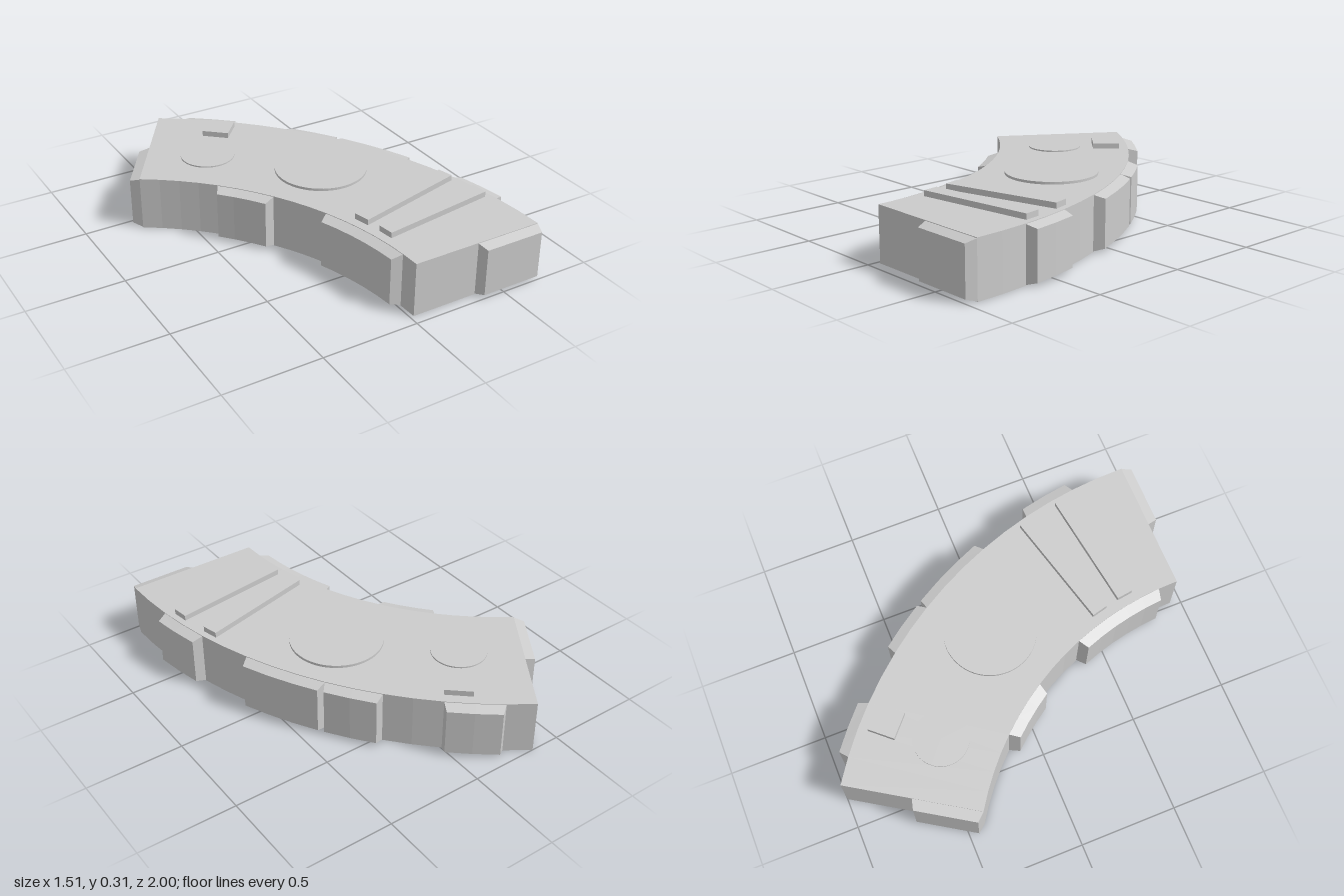
import * as THREE from 'three';

const CX = -1.589, CZ = 0.945;        // centre of the bend
const RI = 1.609, RO = 2.309;         // inner and outer radius
const SWEEP = THREE.MathUtils.degToRad(57.4), STEP = SWEEP / 8;
const H = 0.283, BEVEL = 0.016;

const material = new THREE.MeshStandardMaterial({ color: 0xcccccc, flatShading: true });

// Box whose cross-section shrinks by BEVEL towards one side of the given axis
function taperedBox(w, h, d, nz, axis, sign) {
  const geo = new THREE.BoxGeometry(w, h, d, 1, 1, nz);
  const size = { x: w, y: h, z: d }, p = geo.attributes.position, v = new THREE.Vector3();
  for (let i = 0; i < p.count; i++) {
    v.fromBufferAttribute(p, i);
    if (v[axis] * sign > 0) {
      for (const k of ['x', 'y', 'z']) {
        if (k !== axis) v[k] *= 1 - 2 * BEVEL / size[k];
      }
    }
    p.setXYZ(i, v.x, v.y, v.z);
  }
  return geo;
}

// Wraps a geometry around the bend: x is radius, z is arc length at radius rRef
function bend(geo, rMid, yMid, angleMid, rRef) {
  const p = geo.attributes.position;
  for (let i = 0; i < p.count; i++) {
    const r = rMid + p.getX(i), a = angleMid - p.getZ(i) / rRef;
    p.setXYZ(i, CX + r * Math.cos(a), yMid + p.getY(i), CZ - r * Math.sin(a));
  }
  const flat = geo.toNonIndexed();
  flat.computeVertexNormals();
  return flat;
}

export function createModel() {
  const group = new THREE.Group();
  const add = (name, geo, x = 0, y = 0, z = 0, turn = 0) => {
    const mesh = new THREE.Mesh(geo, material);
    mesh.name = name;
    mesh.position.set(x, y, z);
    mesh.rotation.y = turn;
    group.add(mesh);
  };

  // Curved wall slab
  const rMid = (RI + RO) / 2;
  add('curvedSlab', bend(new THREE.BoxGeometry(RO - RI, H, SWEEP * rMid, 1, 1, 16),
    rMid, H / 2, SWEEP / 2, rMid));

  // Raised blocks along the outer and inner walls, as spans of steps
  const wallBlocks = (name, spans, r, depth, sign) => spans.forEach(([a, b]) => {
    const geo = taperedBox(depth, H - 0.006, (b - a) * STEP * r, Math.round((b - a) * 2), 'x', sign);
    add(name, bend(geo, r + sign * depth / 2, H / 2, (a + b) / 2 * STEP, r));
  });
  wallBlocks('outerBlock', [[1, 2], [3, 4.5], [4.5, 5.5], [6.5, 7.5]], RO, 0.053, 1);
  wallBlocks('innerBlock', [[0.5, 3], [4.5, 6]], RI, 0.055, -1);

  // Raised block on half of each end face
  const endBlock = (name, r, angle, sign) => {
    const geo = taperedBox(0.35, H - 0.006, 0.053, 1, 'z', sign).toNonIndexed();
    geo.translate(r, 0, sign * 0.0265);
    geo.computeVertexNormals();
    add(name, geo, CX, H / 2, CZ, angle);
  };
  endBlock('frontEndBlock', RO - 0.175, 0, 1);
  endBlock('backEndBlock', RI + 0.175, SWEEP, -1);

  // Round plates on top
  const disc = (name, x, z, r, top) => {
    const h = top - H + 0.02;
    add(name, new THREE.CylinderGeometry(r, r, h, 64), x, top - h / 2, z);
  };
  disc('largeDisc', 0.12, -0.042, 0.235, 0.296);
  disc('smallDisc', -0.31, -0.47, 0.14, 0.29);

  // Bars and square plate on top
  const plate = (name, x, z, w, d, turn) =>
    add(name, new THREE.BoxGeometry(w, 0.05, d), x, 0.287, z, THREE.MathUtils.degToRad(turn));
  plate('rearBar', 0.31, 0.435, 0.62, 0.084, 14.2);
  plate('frontBar', 0.35, 0.62, 0.62, 0.084, 8);
  plate('squarePlate', -0.133, -0.687, 0.14, 0.14, 48.2);

  return group;
}
